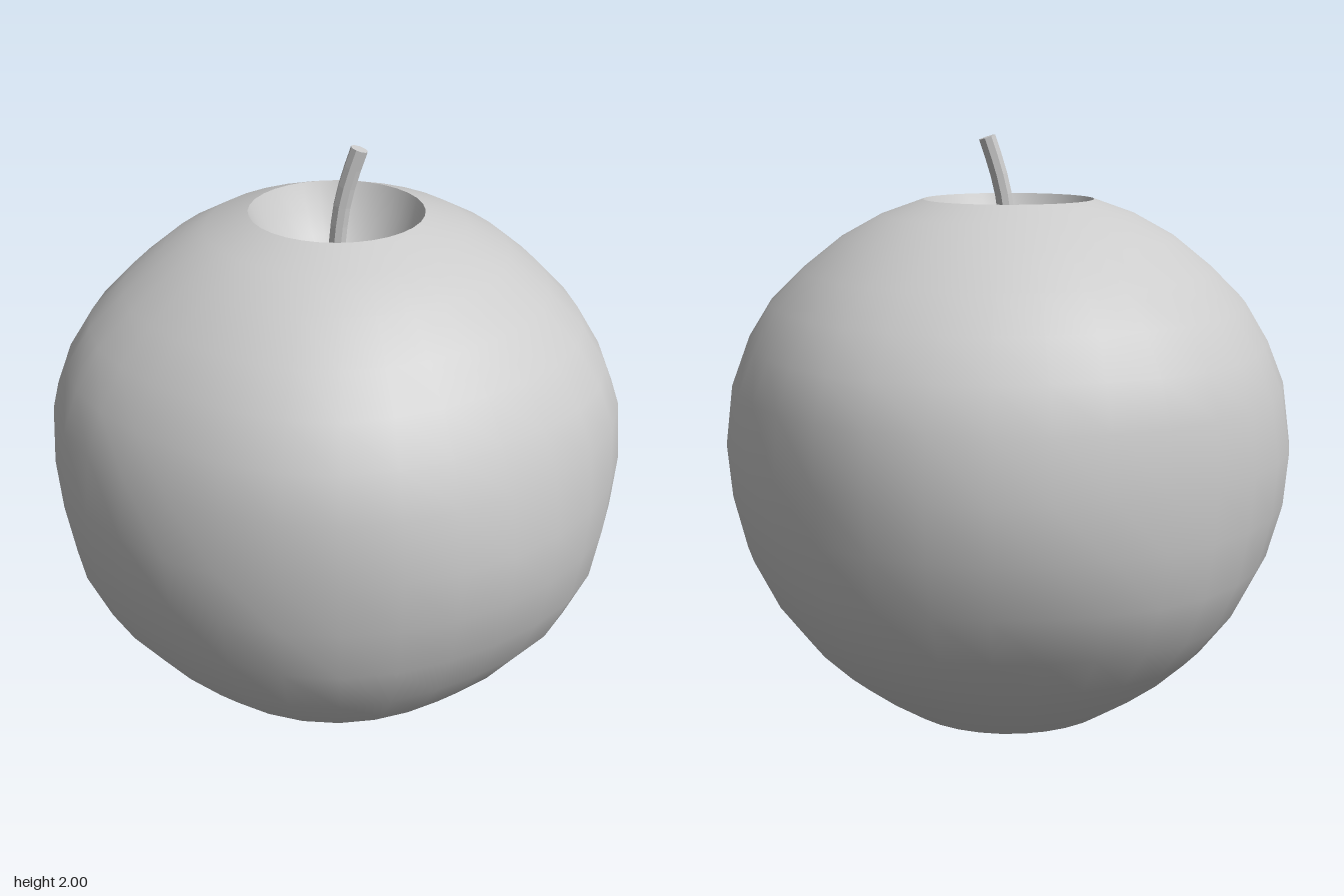
import * as THREE from 'three';
import { mergeVertices } from 'three/addons/utils/BufferGeometryUtils.js';

const SEGMENTS = 32;
const vectors = (pairs) => pairs.map(([r, y]) => new THREE.Vector2(r, y));

// Revolve a profile, push it into five soft lobes, and smooth it across the seam
function lobedLathe(points) {
  let geometry = new THREE.LatheGeometry(points, SEGMENTS);
  const p = geometry.attributes.position;
  for (let i = 0; i < p.count; i++) {
    const x = p.getX(i), y = p.getY(i), z = p.getZ(i);
    const r = Math.hypot(x, z);
    // Lobes fade out at the equator, the rim and the poles
    const fade = Math.sin(Math.PI * 2 * THREE.MathUtils.clamp(y / 1.79, 0, 1)) ** 2;
    const lobe = r > 0.3 ? 1 + 0.018 * fade * Math.cos(5 * Math.atan2(z, x)) : 1;
    p.setXYZ(i, x * lobe, y, z * lobe);
  }
  geometry.deleteAttribute('uv');
  geometry.deleteAttribute('normal');
  geometry = mergeVertices(geometry, 1e-4);
  geometry.computeVertexNormals();
  return geometry;
}

export function createModel() {
  const model = new THREE.Group();
  model.name = 'apple';
  const add = (name, geometry, material, parent = model) => {
    const mesh = new THREE.Mesh(geometry, material);
    mesh.name = name;
    parent.add(mesh);
    return mesh;
  };
  const skin = new THREE.MeshStandardMaterial({ color: 0xcccccc, side: THREE.DoubleSide });
  const wood = new THREE.MeshStandardMaterial({ color: 0xcccccc, flatShading: true });

  // Body, from the dimple underneath up to the rim of the hollow
  add('body', lobedLathe(vectors([
    [0, 0.12], [0.06, 0.11], [0.12, 0.07], [0.18, 0.025], [0.25, 0],
    [0.38, 0.05], [0.5, 0.13], [0.61, 0.215], [0.71, 0.31], [0.82, 0.45],
    [0.9, 0.62], [0.94, 0.8], [0.955, 0.98], [0.934, 1.18], [0.88, 1.32],
    [0.8, 1.45], [0.69, 1.56], [0.56, 1.665], [0.425, 1.74], [0.285, 1.79],
  ])), skin);

  // Bowl-shaped hollow around the stem, meeting the body in a sharp rim
  add('stemHollow', lobedLathe(vectors([
    [0.285, 1.79], [0.25, 1.71], [0.2, 1.63], [0.14, 1.56], [0.07, 1.515], [0, 1.5],
  ])), skin);

  // Bent stem with a flat cut tip
  const stem = new THREE.Group();
  stem.name = 'stem';
  model.add(stem);
  const path = new THREE.CatmullRomCurve3([
    new THREE.Vector3(-0.005, 1.48, 0),
    new THREE.Vector3(0, 1.65, 0),
    new THREE.Vector3(0.015, 1.8, -0.007),
    new THREE.Vector3(0.035, 1.89, -0.015),
    new THREE.Vector3(0.066, 1.992, -0.028),
  ]);
  add('stemShaft', new THREE.TubeGeometry(path, 8, 0.029, 8), wood, stem);
  const tip = add('stemTip', new THREE.CircleGeometry(0.029, 8), wood, stem);
  tip.position.copy(path.getPoint(1));
  tip.quaternion.setFromUnitVectors(new THREE.Vector3(0, 0, 1), path.getTangent(1));

  return model;
}
